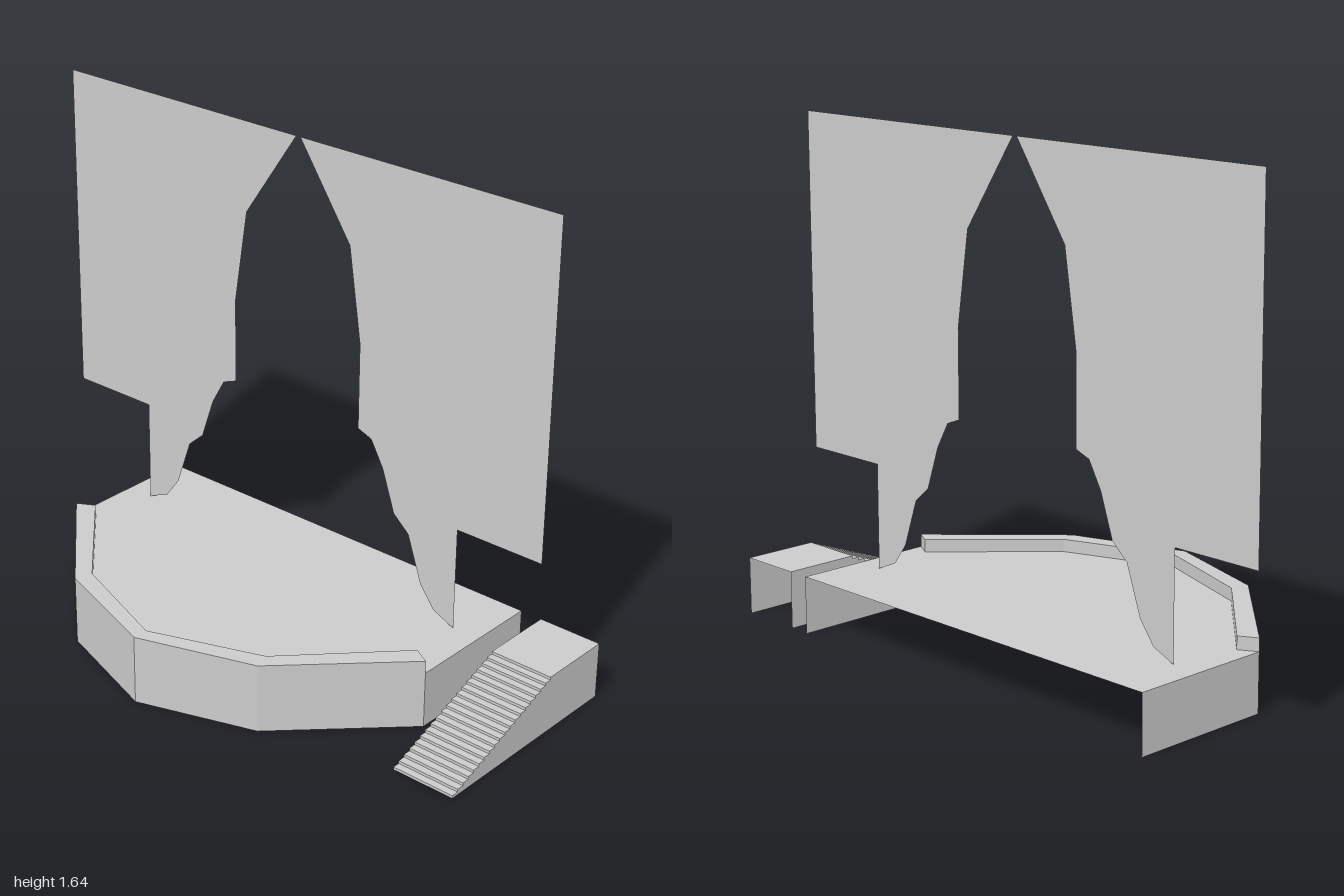
import * as THREE from 'three';

const grey = new THREE.MeshStandardMaterial({
  color: 0xcccccc, flatShading: true, side: THREE.DoubleSide,
});

function part(name, geometry) {
  const mesh = new THREE.Mesh(geometry, grey);
  mesh.name = name;
  return mesh;
}

// Flat polygon in the xy plane
const polygon = (pts) =>
  new THREE.ShapeGeometry(new THREE.Shape(pts.map(([x, y]) => new THREE.Vector2(x, y))));

// Flat polygon lying at height y, from [x, z] corners
const slab = (pts, y) =>
  polygon(pts.map(([x, z]) => [x, -z])).rotateX(-Math.PI / 2).translate(0, y, 0);

// Strip of quads joining two rows of [x, y, z] points
function strip(rowA, rowB) {
  const pos = [];
  for (let i = 0; i < rowA.length - 1; i++) {
    const [a, b, c, d] = [rowA[i], rowA[i + 1], rowB[i + 1], rowB[i]];
    pos.push(...a, ...b, ...c, ...a, ...c, ...d);
  }
  const g = new THREE.BufferGeometry();
  g.setAttribute('position', new THREE.Float32BufferAttribute(pos, 3));
  g.computeVertexNormals();
  return g;
}

// Upright wall following [x, z] points
const wall = (pts, y0, y1) =>
  strip(pts.map(([x, z]) => [x, y0, z]), pts.map(([x, z]) => [x, y1, z]));

// Extend a right-hand half outline (ending on the centre) to the mirrored other half
const mirrored = (half) =>
  [...half, ...half.slice(0, -1).reverse().map(([x, z]) => [-x, z])];

const FLOOR = 0.19, RIM = 0.232, BACK = -0.487;

function createStage() {
  const stage = new THREE.Group();
  stage.name = 'stage';
  const outer = mirrored([[0.745, 0], [0.388, 0.355], [0, 0.485]]);
  const inner = mirrored([[0.687, -0.033], [0.37, 0.297], [0, 0.432]]);

  // Floor, open underneath and at the back
  stage.add(part('stageFloor', slab(
    [[-0.745, BACK], [0.745, BACK], outer[0], ...inner, outer[4]], FLOOR)));
  stage.add(part('frontWall', wall(outer, 0, RIM)));
  for (const s of [1, -1]) {
    stage.add(part('sideWall', wall([[s * 0.745, BACK], [s * 0.745, 0]], 0, FLOOR)));
    stage.add(part('rimEnd', wall([[s * 0.745, 0], [s * 0.687, -0.033]], FLOOR, RIM)));
  }

  // Raised hollow rim along the front
  stage.add(part('rimTop', slab([...outer, ...[...inner].reverse()], RIM)));
  stage.add(part('rimInnerWall', wall(inner, FLOOR, RIM)));
  return stage;
}

function createCurtains() {
  const curtains = new THREE.Group();
  curtains.name = 'curtains';
  const half = [
    [0.0075, 1.64], [0.2075, 1.345], [0.2545, 1.035], [0.2545, 0.75], [0.3075, 0.73],
    [0.3555, 0.645], [0.4035, 0.505], [0.4625, 0.453], [0.5165, 0.297], [0.57, 0.225],
    [0.65, FLOOR], [0.65, 0.537], [0.9625, 0.537], [0.9625, 1.64],
  ];
  for (const s of [1, -1]) {
    const panel = part(s > 0 ? 'leftCurtain' : 'rightCurtain',
      polygon(half.map(([x, y]) => [s * x, y])));
    panel.position.z = -0.26;
    curtains.add(panel);
  }
  return curtains;
}

function createStairs() {
  const stairs = new THREE.Group();
  stairs.name = 'stairs';
  const x0 = 0.782, x1 = 1, zFront = 0.238, zTop = -0.232, risers = 20;

  // Stepped profile as [z, y], from the foot up to the landing
  const profile = [[zFront, 0]];
  for (let i = 0; i < risers; i++) {
    const y = ((i + 1) / risers) * FLOOR;
    const z = zFront + (i / (risers - 1)) * (zTop - zFront);
    profile.push([z, y]);
    if (i < risers - 1) profile.push([z + (zTop - zFront) / (risers - 1), y]);
  }
  profile.push([BACK, FLOOR]);
  stairs.add(part('stepsAndLanding', strip(
    profile.map(([z, y]) => [x0, y, z]), profile.map(([z, y]) => [x1, y, z]))));

  // Side panels; underside and back stay open
  for (const x of [x0, x1]) {
    const side = polygon([...profile, [BACK, 0]]).rotateY(-Math.PI / 2).translate(x, 0, 0);
    stairs.add(part('stairSide', side));
  }
  return stairs;
}

export function createModel() {
  const model = new THREE.Group();
  model.name = 'theatreStage';
  const stage = createStage();
  const curtains = createCurtains();
  stage.position.x = curtains.position.x = -0.0375;
  model.add(stage, curtains, createStairs());
  return model;
}
